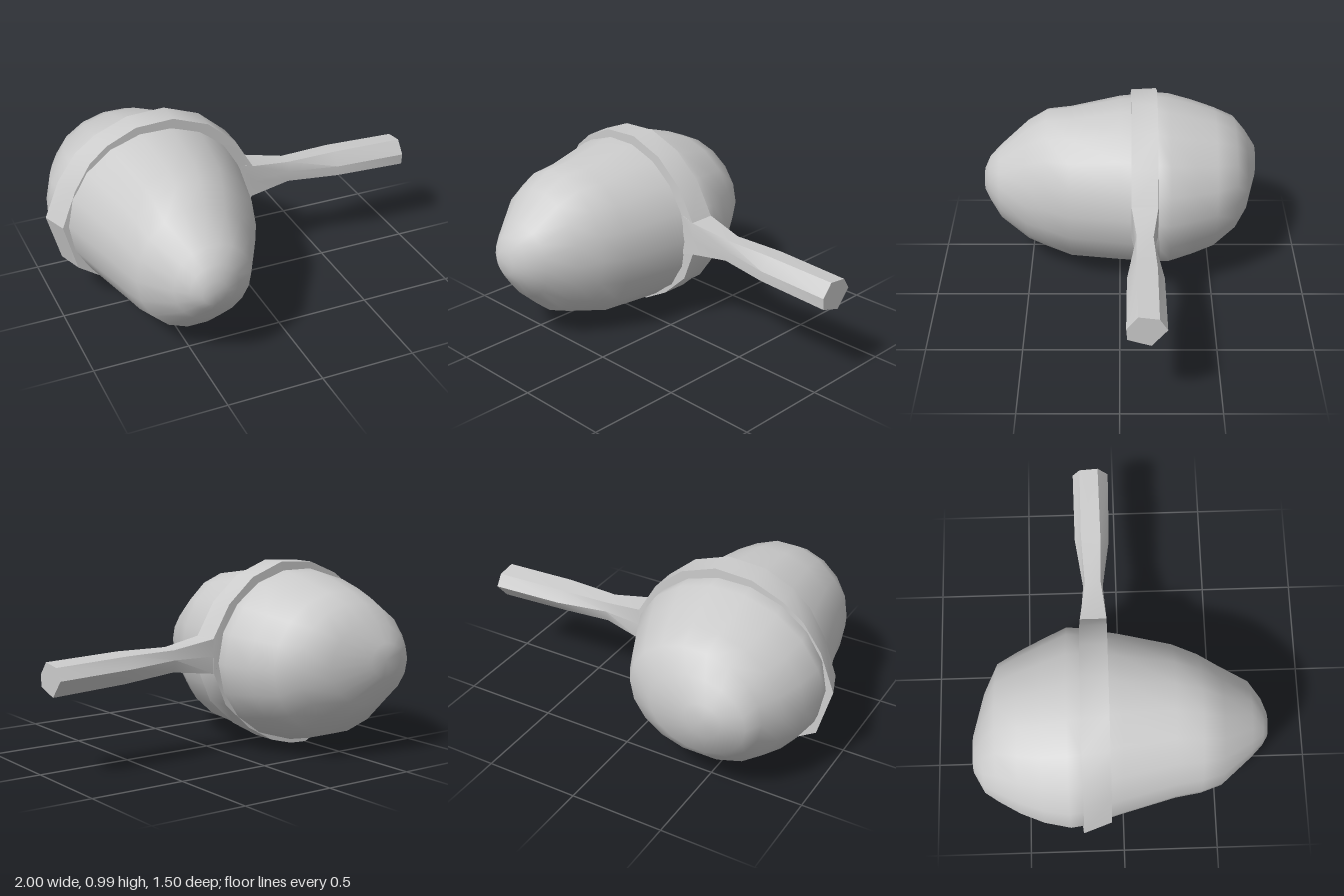
import * as THREE from 'three';
import { toCreasedNormals } from 'three/addons/utils/BufferGeometryUtils.js';

const material = new THREE.MeshStandardMaterial({ color: 0xcccccc });

// Skin a list of equal-length point loops and close both ends with fans.
function loft(loops) {
  const n = loops[0].length, last = loops.length - 1;
  const points = loops.flat(), index = [];
  const centre = (loop) => loop.reduce((s, p) => s.add(p), new THREE.Vector3()).divideScalar(n);
  points.push(centre(loops[0]), centre(loops[last]));
  const c0 = points.length - 2, c1 = points.length - 1;
  for (let j = 0; j < n; j++) {
    const k = (j + 1) % n;
    for (let i = 0; i < last; i++) {
      const a = i * n + j, b = i * n + k, c = a + n, d = b + n;
      index.push(a, c, b, b, c, d);
    }
    index.push(c0, j, k, c1, last * n + k, last * n + j);
  }
  const geometry = new THREE.BufferGeometry().setFromPoints(points);
  geometry.setIndex(index);
  geometry.computeVertexNormals();
  return geometry;
}

function add(group, name, geometry) {
  const mesh = new THREE.Mesh(geometry, material);
  mesh.name = name;
  group.add(mesh);
}

// Egg-shaped stone: z, xMin, xMax, yMin, yMax of each cross-section, front to back.
function stoneGeometry() {
  const sections = [
    [0.75, -0.52, -0.39, 0.41, 0.54],
    [0.72, -0.57, -0.32, 0.36, 0.61],
    [0.66, -0.63, -0.23, 0.27, 0.68],
    [0.51, -0.76, -0.15, 0.13, 0.81],
    [0.40, -0.80, -0.09, 0.09, 0.88],
    [0.27, -0.82, -0.03, 0.055, 0.90],
    [0.00, -0.90, 0.03, 0.04, 0.945],
    [-0.20, -0.96, 0.07, 0.035, 0.95],
    [-0.27, -0.97, 0.08, 0.04, 0.94],
    [-0.40, -0.94, 0.02, 0.07, 0.90],
    [-0.52, -0.89, -0.04, 0.11, 0.86],
    [-0.63, -0.83, -0.11, 0.21, 0.81],
    [-0.70, -0.78, -0.26, 0.29, 0.71],
    [-0.755, -0.68, -0.48, 0.43, 0.61],
  ];
  const sides = 18;
  return loft(sections.map(([z, x0, x1, y0, y1]) =>
    Array.from({ length: sides }, (_, j) => {
      const a = (j / sides) * Math.PI * 2;
      return new THREE.Vector3(
        (x0 + x1) / 2 + Math.cos(a) * (x1 - x0) / 2,
        (y0 + y1) / 2 + Math.sin(a) * (y1 - y0) / 2, z);
    })));
}

// Faceted strap around the stone, leaning back at the bottom and tapering at its far side.
function strapGeometry() {
  const outline = [
    [0.10, 0.44], [0.10, 0.62], [0, 0.79], [-0.15, 0.92], [-0.34, 0.99], [-0.54, 0.98],
    [-0.71, 0.91], [-0.82, 0.83], [-0.92, 0.69], [-1, 0.49], [-0.93, 0.23], [-0.75, 0.12],
    [-0.5, 0.005], [-0.4, 0.01], [-0.27, 0.045], [-0.12, 0.13], [0.03, 0.27],
  ];
  const shape = new THREE.Shape(outline.map(([x, y]) => new THREE.Vector2(x, y)));
  shape.holes.push(new THREE.Path().absellipse(-0.43, 0.495, 0.43, 0.42, 0, Math.PI * 2));
  const geometry = new THREE.ExtrudeGeometry(shape, { depth: 0.14, bevelEnabled: false, curveSegments: 9 });
  geometry.translate(0, 0, -0.2);
  const p = geometry.attributes.position;
  for (let i = 0; i < p.count; i++) {
    const x = p.getX(i), y = p.getY(i), z = p.getZ(i);
    if (z > -0.1) p.setX(i, x + 0.05 * THREE.MathUtils.clamp((-0.6 - x) / 0.35, 0, 1));
    p.setZ(i, z - 0.022 * THREE.MathUtils.clamp((0.6 - y) / 0.6, 0, 1));
  }
  return toCreasedNormals(geometry, 0.45);
}

// Six-sided handle: x, then the (z, y) corners of each cross-section.
function handleGeometry() {
  const sections = [
    [0.03, [[-0.06, 0.53], [-0.06, 0.64], [-0.2, 0.64], [-0.2, 0.53], [-0.2, 0.42], [-0.06, 0.42]]],
    [0.10, [[-0.06, 0.53], [-0.06, 0.62], [-0.2, 0.62], [-0.2, 0.53], [-0.2, 0.44], [-0.06, 0.44]]],
    [0.32, [[-0.075, 0.53], [-0.085, 0.585], [-0.17, 0.58], [-0.18, 0.53], [-0.16, 0.465], [-0.08, 0.47]]],
    [0.60, [[-0.035, 0.52], [-0.08, 0.59], [-0.185, 0.58], [-0.22, 0.52], [-0.148, 0.435], [-0.037, 0.465]]],
    [1.00, [[-0.03, 0.51], [-0.085, 0.578], [-0.185, 0.565], [-0.224, 0.505], [-0.148, 0.415], [-0.035, 0.45]]],
  ];
  const geometry = loft(sections.map(([x, corners]) =>
    corners.map(([z, y]) => new THREE.Vector3(x, y, z))));
  return toCreasedNormals(geometry, 0.5);
}

export function createModel() {
  const model = new THREE.Group();
  model.name = 'stoneHammer';
  add(model, 'stoneHead', stoneGeometry());
  add(model, 'strap', strapGeometry());
  add(model, 'handle', handleGeometry());
  return model;
}
